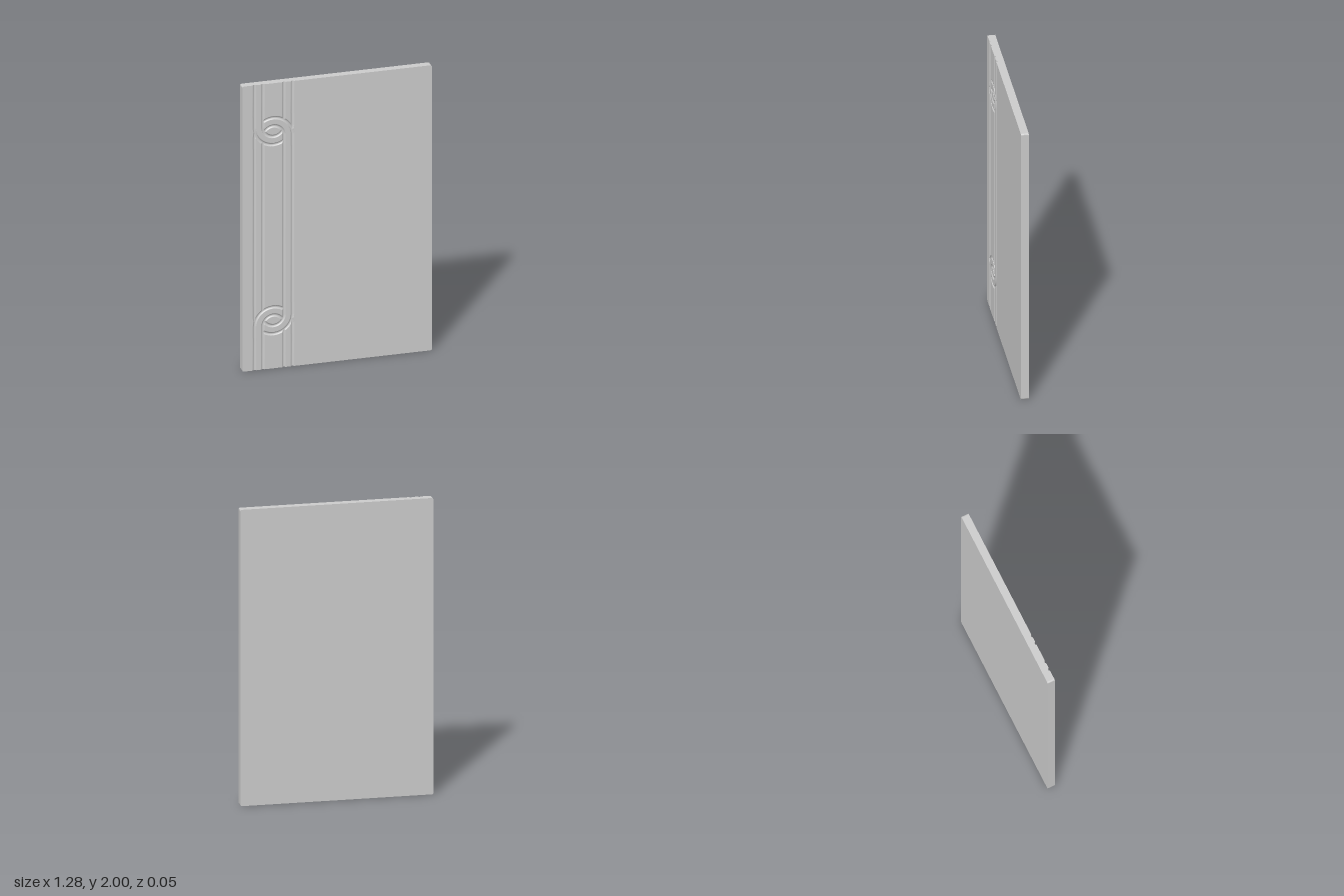
import * as THREE from 'three';

const W = 0.64, H = 2, T = 0.026;         // half width, height, half thickness
const X0 = -0.58, X1 = -0.28, XC = -0.43; // carved strip and its centre line
const RADIUS = 0.0995, HALF_BAND = 0.0285; // link bend radius, half width of a band
const GROOVE = 0.0098, DEPTH = 0.0075;

// Offset from the centre line of a link that ends in a half circle.
// dir = 1: straight legs run towards larger v, dir = -1: towards smaller v.
function linkOffset(x, v, centre, dir) {
  const legs = (v - centre) * dir > 0;
  const r = legs ? Math.abs(x - XC) : Math.hypot(x - XC, v - centre);
  return Math.abs(r - RADIUS);
}

// Height of the front face: two interlaced links outlined by round grooves.
function frontZ(x, y) {
  const v = Math.abs(y - 1);
  const end = linkOffset(x, v, 0.698, 1);
  const middle = linkOffset(x, v, 0.629, -1);
  const endOver = x < XC; // end link passes over on one side, under on the other
  let d = Infinity;
  if (endOver || middle > HALF_BAND) d = Math.min(d, Math.abs(end - HALF_BAND));
  if (!endOver || end > HALF_BAND) d = Math.min(d, Math.abs(middle - HALF_BAND));
  return d < GROOVE ? T - DEPTH * Math.sqrt(1 - (d / GROOVE) ** 2) : T;
}

// Flat part of the door, with rounded corners on its outer side only.
function sidePanel(inner, outer) {
  const r = 0.012, s = Math.sign(outer);
  const shape = new THREE.Shape();
  shape.moveTo(inner, 0);
  shape.lineTo(outer - s * r, 0);
  shape.quadraticCurveTo(outer, 0, outer, r);
  shape.lineTo(outer, H - r);
  shape.quadraticCurveTo(outer, H, outer - s * r, H);
  shape.lineTo(inner, H);
  shape.closePath();
  const geo = new THREE.ExtrudeGeometry(shape, { depth: 2 * T, bevelEnabled: false, curveSegments: 6 });
  return geo.translate(0, 0, -T);
}

// Carved face: a grid that is fine around the two knots and long between them.
function carvedFace(nx) {
  const n = 105, rows = [H];
  for (const top of [1.775, 0.45])
    for (let i = 0; i <= n; i++) rows.push(top - (0.225 * i) / n);
  rows.push(0);
  const geo = new THREE.PlaneGeometry(X1 - X0, 1, nx, rows.length - 1);
  const p = geo.attributes.position;
  for (let i = 0; i < p.count; i++) {
    const x = p.getX(i) + XC, y = rows[Math.floor(i / (nx + 1))];
    p.setXYZ(i, x, y, frontZ(x, y));
  }
  geo.computeVertexNormals();
  return geo;
}

// Top or bottom end of the carved strip, notched where the grooves run out.
function carvedEnd(nx, y) {
  const geo = new THREE.PlaneGeometry(X1 - X0, 2 * T, nx, 1);
  geo.rotateX(y > 1 ? -Math.PI / 2 : Math.PI / 2).translate(XC, y, 0);
  const p = geo.attributes.position;
  for (let i = 0; i < p.count; i++)
    if (p.getZ(i) > 0) p.setZ(i, frontZ(p.getX(i), y));
  return geo;
}

export function createModel() {
  const group = new THREE.Group();
  group.name = 'cabinetDoor';
  const material = new THREE.MeshStandardMaterial({ color: 0xcccccc });
  const add = (name, geometry) => {
    const mesh = new THREE.Mesh(geometry, material);
    mesh.name = name;
    group.add(mesh);
    return mesh;
  };

  add('plainPanel', sidePanel(X1, W));
  add('edgePanel', sidePanel(X0, -W));

  const nx = 140;
  add('carvedFace', carvedFace(nx));
  add('carvedTopEnd', carvedEnd(nx, H));
  add('carvedBottomEnd', carvedEnd(nx, 0));

  // Back of the carved strip
  const back = new THREE.PlaneGeometry(X1 - X0, H);
  add('carvedBack', back.rotateY(Math.PI).translate(XC, H / 2, -T));

  return group;
}
